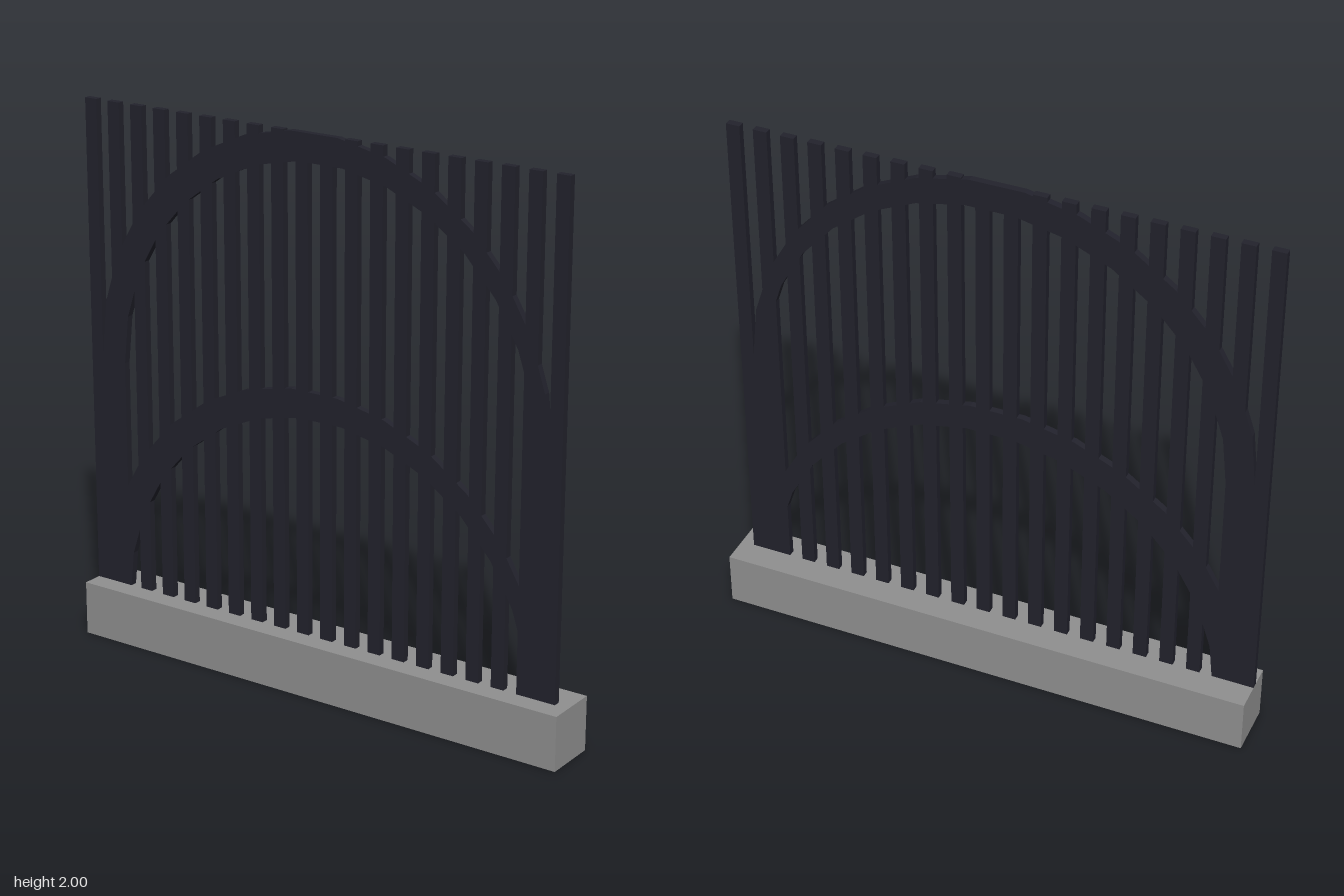
import * as THREE from 'three';

const DEPTH = 0.025;
const BASE_TOP = 0.2;

// Faceted half circle, 12 degrees per side, running right to left
function halfCircle(cx, cy, r) {
  const points = [];
  for (let i = 0; i <= 15; i++) {
    const a = (i * Math.PI) / 15;
    points.push(new THREE.Vector2(cx + r * Math.cos(a), cy + r * Math.sin(a)));
  }
  return points;
}

// Flat arched band with straight legs that sink into the base
function archGeometry(top) {
  const foot = 0.12;
  const outer = halfCircle(-0.025, top - 0.92, 0.925);
  const inner = halfCircle(0, top - 0.945, 0.85).reverse();
  const shape = new THREE.Shape([
    new THREE.Vector2(0.9, foot),
    ...outer,
    new THREE.Vector2(-0.95, foot),
    new THREE.Vector2(-0.85, foot),
    ...inner,
    new THREE.Vector2(0.85, foot),
  ]);
  return new THREE.ExtrudeGeometry(shape, { depth: DEPTH, bevelEnabled: false });
}

export function createModel() {
  const model = new THREE.Group();
  model.name = 'archedFence';

  const iron = new THREE.MeshStandardMaterial({ color: 0x22222c });
  iron.name = 'darkIron';
  const stone = new THREE.MeshStandardMaterial({ color: 0x909090 });
  stone.name = 'greyStone';

  const add = (name, geometry, material, x = 0, y = 0, z = 0) => {
    const mesh = new THREE.Mesh(geometry, material);
    mesh.name = name;
    mesh.position.set(x, y, z);
    model.add(mesh);
  };

  // Stone footing
  add('base', new THREE.BoxGeometry(2, BASE_TOP, 0.2), stone, 0, BASE_TOP / 2, 0);

  // Evenly spaced upright bars, starting flush with the right end
  const barHeight = 2 - BASE_TOP;
  const barGeometry = new THREE.BoxGeometry(0.05, barHeight, DEPTH);
  for (let i = 0; i < 20; i++) {
    add(`bar${i + 1}`, barGeometry, iron, -0.975 + i * 0.1, BASE_TOP + barHeight / 2, DEPTH / 2);
  }

  // Two arches in the plane of the bars
  add('upperArch', archGeometry(2), iron);
  add('lowerArch', archGeometry(1.1), iron);

  return model;
}
